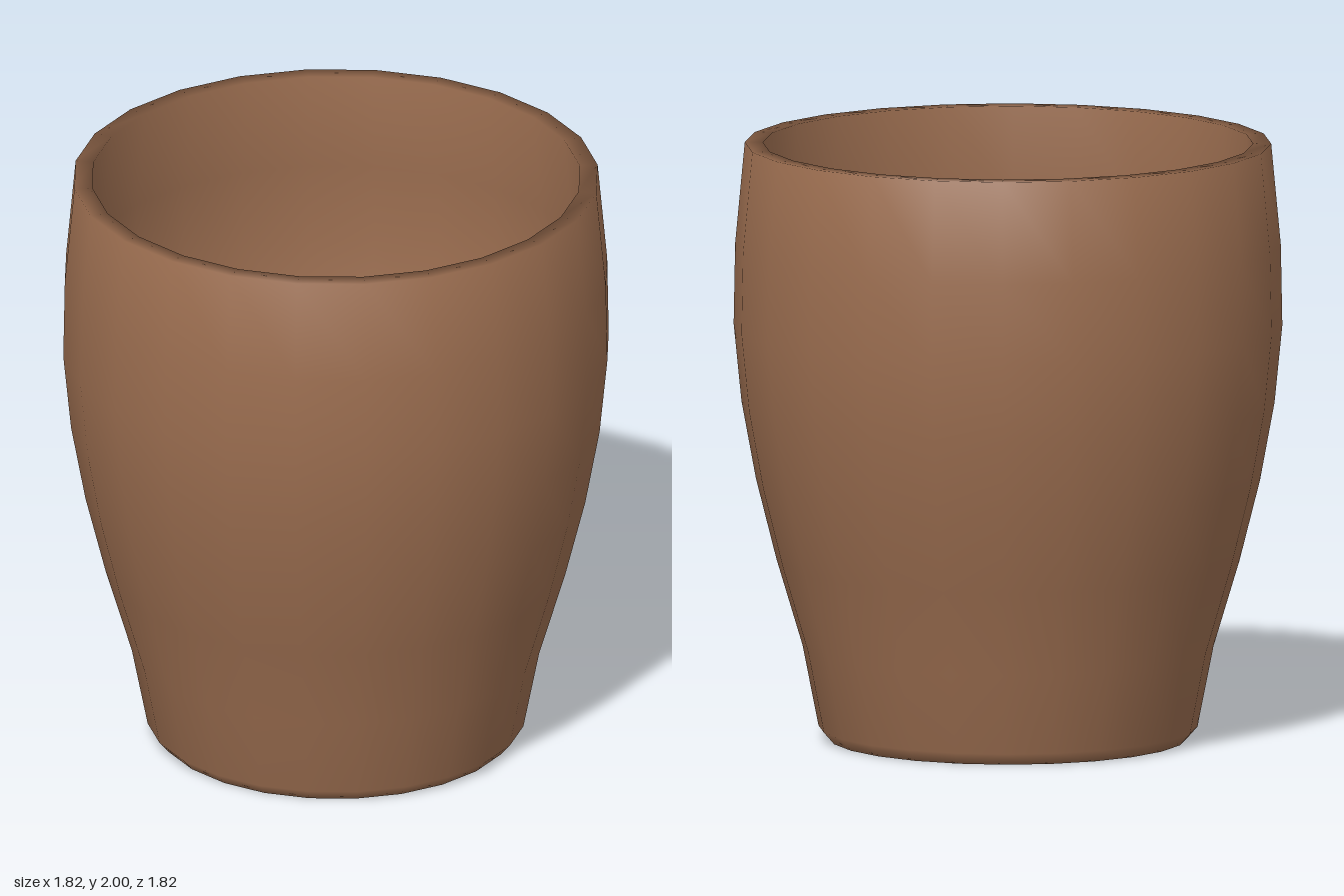
import * as THREE from 'three';

export function createModel() {
  const group = new THREE.Group();
  group.name = 'cup';

  const clay = new THREE.MeshStandardMaterial({ color: 0x9c6e50 });
  clay.name = 'brown clay';

  // Cross-section as [radius, height]: base, outer wall, rim, inner wall, floor
  const profile = [
    [0, 0], [0.595, 0], [0.63, 0.04], [0.683, 0.31], [0.77, 0.6],
    [0.838, 0.87], [0.886, 1.13], [0.912, 1.39], [0.907, 1.66], [0.875, 2],
    [0.815, 2], [0.847, 1.66], [0.851, 1.39], [0.826, 1.13], [0.778, 0.87],
    [0.71, 0.6], [0.625, 0.31], [0.585, 0.1], [0.55, 0.06], [0, 0.06],
  ].map(([r, y]) => new THREE.Vector2(r, y));

  // 24-sided smooth turned body
  const body = new THREE.Mesh(new THREE.LatheGeometry(profile, 24), clay);
  body.name = 'cupBody';
  group.add(body);

  return group;
}
